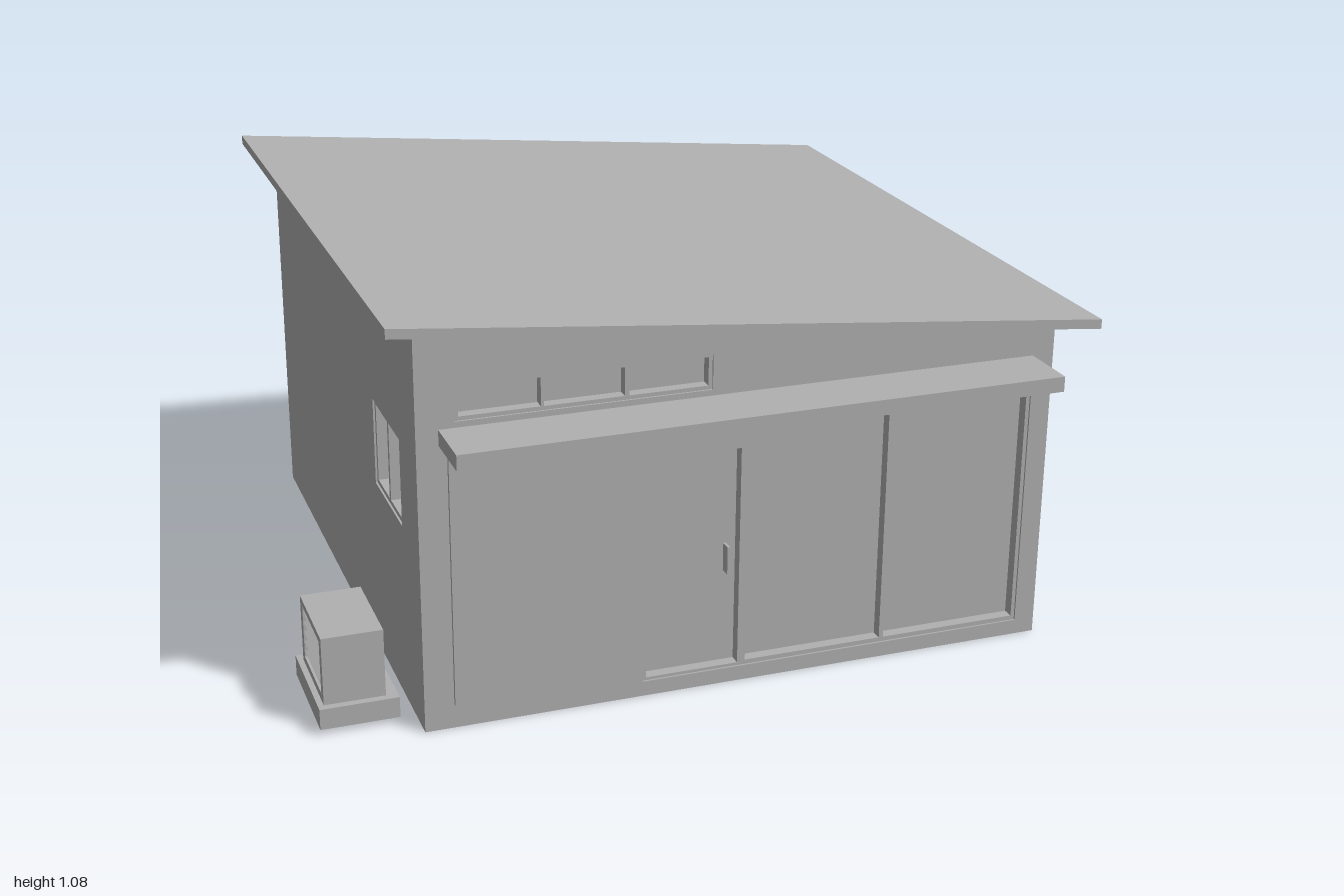
import * as THREE from 'three';

const grey = new THREE.MeshStandardMaterial({ color: 0xb0b0b0 });
grey.name = 'plain grey';

// Roof underside height at a given x
const eave = (x) => 1.055 - ((x + 0.835) * 0.183) / 1.835;

function add(parent, name, geometry) {
  const mesh = new THREE.Mesh(geometry, grey);
  mesh.name = name;
  parent.add(mesh);
  return mesh;
}

// Box given by its minimum and maximum corners
function box(parent, name, [x0, y0, z0], [x1, y1, z1]) {
  const g = new THREE.BoxGeometry(x1 - x0, y1 - y0, z1 - z0);
  g.translate((x0 + x1) / 2, (y0 + y1) / 2, (z0 + z1) / 2);
  return add(parent, name, g);
}

const points = (list) => list.map(([x, y]) => new THREE.Vector2(x, y));
const rect = ([x0, y0, x1, y1]) => [[x0, y0], [x1, y0], [x1, y1], [x0, y1]];

// Flat outline with holes, extruded along z from z0 to z1
function slab(outline, holes, z0, z1) {
  const shape = new THREE.Shape(points(outline));
  holes.forEach((h) => shape.holes.push(new THREE.Path(points(h))));
  const g = new THREE.ExtrudeGeometry(shape, { depth: z1 - z0, bevelEnabled: false });
  return g.translate(0, 0, z0);
}

// Slab lying in the z-y plane and facing -x, from -x = d0 to d1
const sideSlab = (outline, holes, d0, d1) => slab(outline, holes, d0, d1).rotateY(-Math.PI / 2);

export function createModel() {
  const model = new THREE.Group();
  model.name = 'shop';

  // Building core, whose faces also form the recessed panes
  const L = -0.755, R = 0.915, inner = -0.72;
  add(model, 'buildingCore', slab(
    [[inner, 0], [R, 0], [R, eave(R)], [inner, eave(inner)]], [], -0.875, 0.76));

  // Front wall with openings for clerestory and shopfront
  const clerestory = rect([-0.66, 0.805, -0.015, 0.895]);
  const shopfront = [[-0.19, 0.04], [0.86, 0.04], [0.86, 0.715], [0.078, 0.715], [0.078, 0.648], [-0.19, 0.648]];
  add(model, 'frontWall', slab(
    [[L, 0], [R, 0], [R, eave(R)], [L, eave(L)]], [clerestory, shopfront], 0.76, 0.795));

  // Window and door frames
  const clerestoryPanes = [-0.65, -0.44, -0.227].map((x) => rect([x, 0.815, x + 0.202, 0.888]));
  add(model, 'clerestoryFrame', slab(clerestory, clerestoryPanes, 0.76, 0.79));
  add(model, 'shopfrontFrame', slab(shopfront, [
    rect([-0.181, 0.048, 0.066, 0.64]),
    rect([0.087, 0.052, 0.464, 0.705]),
    rect([0.476, 0.052, 0.85, 0.705]),
  ], 0.76, 0.79));
  box(model, 'doorHandle', [0.034, 0.3, 0.76], [0.041, 0.375, 0.79]);

  // Side wall with a two-pane window
  const sideWindow = rect([0.345, 0.48, 0.625, 0.71]);
  add(model, 'sideWall', sideSlab(
    rect([-0.875, 0, 0.76, eave(L)]), [sideWindow], -inner, -L));
  add(model, 'sideWindowFrame', sideSlab(sideWindow, [
    rect([0.357, 0.492, 0.478, 0.698]),
    rect([0.492, 0.492, 0.613, 0.698]),
  ], -inner, 0.75));

  // Raised sign panel and canopy
  box(model, 'frontPanel', [-0.68, 0.065, 0.79], [-0.24, 0.745, 0.805]);
  box(model, 'canopy', [-0.7, 0.75, 0.79], [0.857, 0.79, 0.957]);

  // Sloping roof
  add(model, 'roof', slab(
    [[-0.835, 1.055], [1, 0.872], [1, 0.897], [-0.835, 1.08]], [], -0.957, 0.875));

  // Air conditioner with a slatted grille facing outwards
  const unit = new THREE.Group();
  unit.name = 'airConditioner';
  model.add(unit);
  box(unit, 'unitBase', [-1, 0.015, 0.43], [-0.8, 0.07, 0.727]);
  box(unit, 'unitBody', [-0.965, 0.07, 0.457], [-0.83, 0.25, 0.707]);
  add(unit, 'grilleFrame', sideSlab(
    rect([0.457, 0.07, 0.707, 0.25]), [rect([0.482, 0.09, 0.682, 0.232])], 0.965, 0.985));
  for (let i = 0; i < 5; i++) {
    const slat = add(unit, 'grilleSlat', new THREE.BoxGeometry(0.018, 0.007, 0.2));
    slat.position.set(-0.974, 0.106 + i * 0.0275, 0.582);
    slat.rotation.z = 0.4;
  }
  return model;
}
